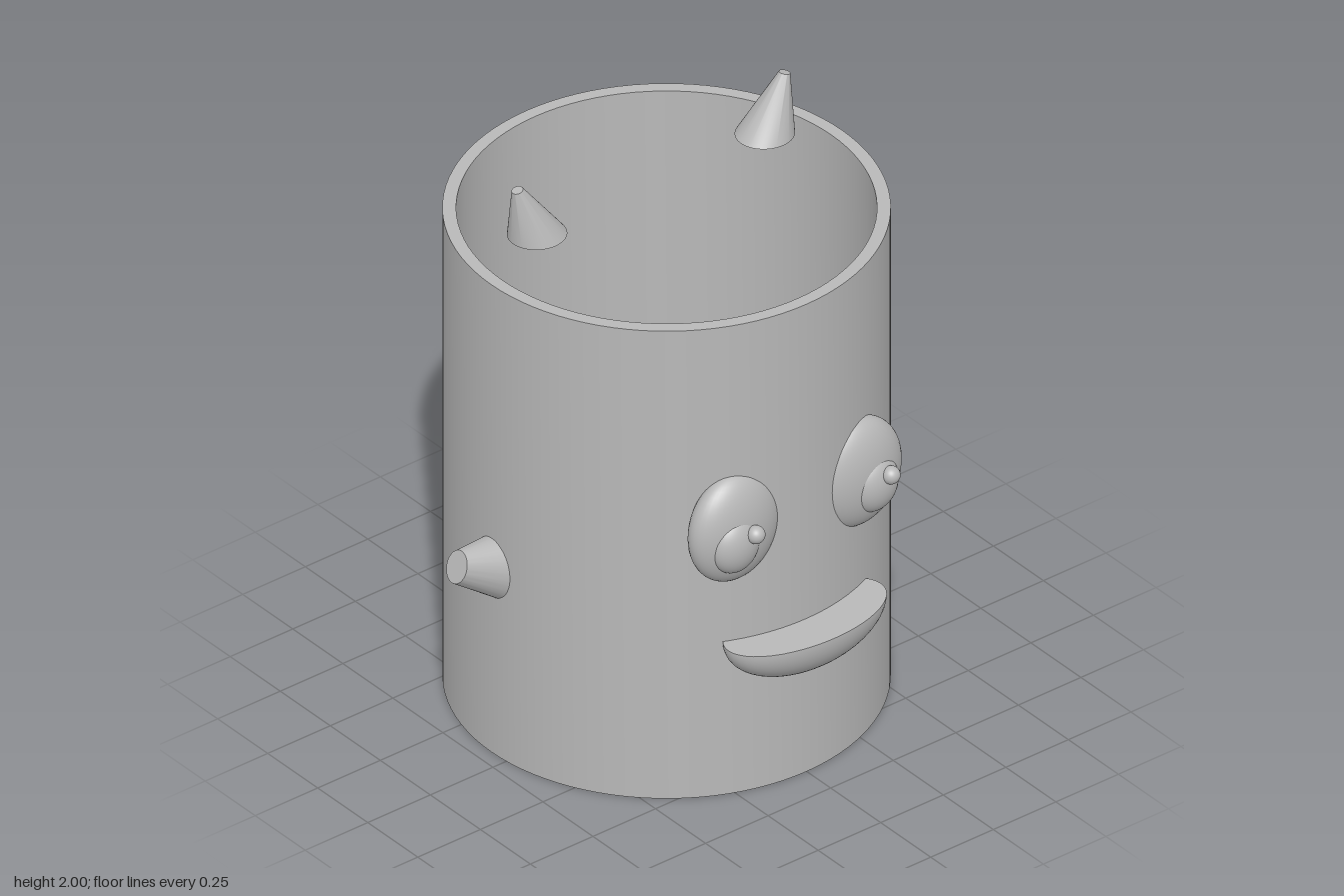
import * as THREE from 'three';
import { toCreasedNormals } from 'three/addons/utils/BufferGeometryUtils.js';

const V = (x, y, z) => new THREE.Vector3(x, y, z);

// Slanted frustum between two elliptical ends, each { c: centre, u, v: half axes }
function frustum(a, b) {
  const geo = new THREE.CylinderGeometry(1, 1, 1, 48);
  const pos = geo.attributes.position;
  const p = V(0, 0, 0), q = V(0, 0, 0);
  for (let i = 0; i < pos.count; i++) {
    const x = pos.getX(i), t = pos.getY(i) + 0.5, z = pos.getZ(i);
    p.copy(a.c).addScaledVector(a.u, x).addScaledVector(a.v, z);
    q.copy(b.c).addScaledVector(b.u, x).addScaledVector(b.v, z);
    p.lerp(q, t);
    pos.setXYZ(i, p.x, p.y, p.z);
  }
  return toCreasedNormals(geo, 0.6);
}

export function createModel() {
  const model = new THREE.Group();
  model.name = 'faceCup';
  const grey = new THREE.MeshStandardMaterial({ color: 0xb8b8b8 });
  grey.name = 'grey';

  const add = (name, geo, parent = model) => {
    const mesh = new THREE.Mesh(geo, grey);
    mesh.name = name;
    parent.add(mesh);
    return mesh;
  };
  const ellipsoid = (name, center, radii, parent) => {
    const mesh = add(name, new THREE.SphereGeometry(1, 40, 28), parent);
    mesh.position.copy(center);
    mesh.scale.copy(radii);
  };

  // Hollow cup with a thin wall and floor
  const profile = [[0, 0], [0.7, 0], [0.7, 1.75], [0.657, 1.75], [0.657, 0.045], [0, 0.045]]
    .map(([r, y]) => new THREE.Vector2(r, y));
  add('cup', toCreasedNormals(new THREE.LatheGeometry(profile, 96), 0.6)).position.z = -0.07;

  for (const s of [-1, 1]) {
    const side = s > 0 ? 'left' : 'right';

    // Eye: white, iris and highlight; both highlights sit on the same side
    const eye = new THREE.Group();
    eye.name = side + 'Eye';
    model.add(eye);
    ellipsoid('eyeball', V(s * 0.245, 0.993, 0.57), V(0.17, 0.195, 0.085), eye);
    ellipsoid('iris', V(s * 0.277, 0.962, 0.615), V(0.09, 0.102, 0.062), eye);
    ellipsoid('highlight', V(s * 0.27 + 0.035, 1.005, 0.67), V(0.03, 0.03, 0.03), eye);

    // Horn floating just above the rim, leaning outwards
    add(side + 'Horn', frustum(
      { c: V(s * 0.455, 1.8, -0.148), u: V(0.096, 0, 0), v: V(0, 0, 0.092) },
      { c: V(s * 0.534, 1.995, -0.148), u: V(0.018, -s * 0.005, 0), v: V(0, 0, 0.018) }));

    // Stubby arm angled upwards out of the wall
    add(side + 'Arm', frustum(
      { c: V(s * 0.67, 0.682, -0.068), u: V(0, 0.119, 0), v: V(0, 0, -s * 0.09) },
      { c: V(s * 0.84, 0.752, -0.068), u: V(-s * 0.02, 0.051, 0), v: V(0, 0, -s * 0.046) }));
  }

  // Mouth: lower half of an ellipsoid with a flat top
  const mouth = new THREE.Group();
  mouth.name = 'mouth';
  mouth.position.set(0, 0.573, 0.62);
  mouth.scale.set(0.305, 0.168, 0.152);
  model.add(mouth);
  add('lowerLip', new THREE.SphereGeometry(1, 48, 16, 0, Math.PI * 2, Math.PI / 2, Math.PI / 2), mouth);
  add('mouthTop', new THREE.CircleGeometry(1, 48), mouth).rotation.x = -Math.PI / 2;

  return model;
}
